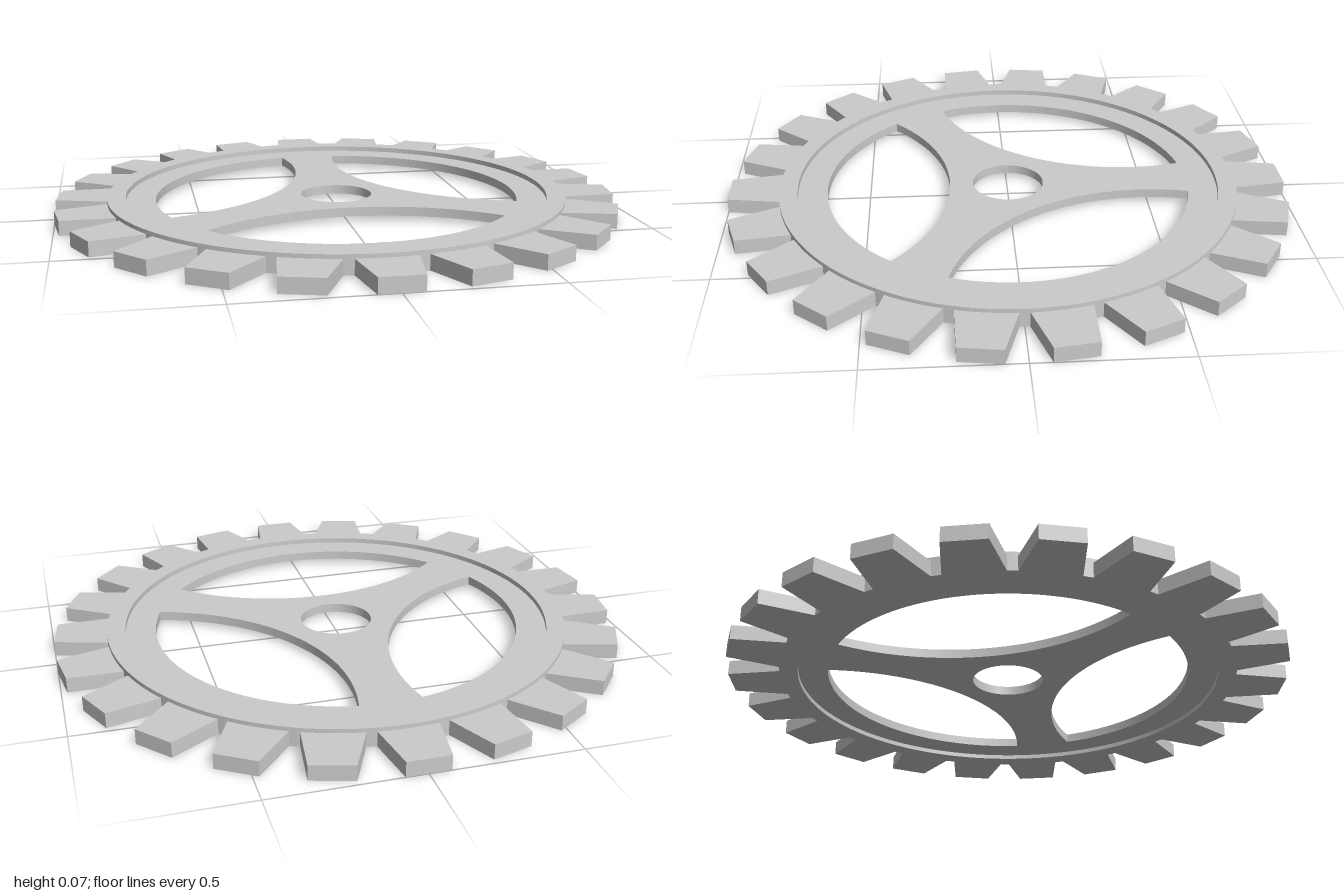
import * as THREE from 'three';
import { toCreasedNormals } from 'three/addons/utils/BufferGeometryUtils.js';

const TEETH = 22, ROOT = 0.82, LIP_IN = 0.755;
const material = new THREE.MeshStandardMaterial({ color: 0xcccccc });

// Extrude a plan outline upward from y0 to y1
function slab(name, shape, y0, y1) {
  const geo = new THREE.ExtrudeGeometry(shape, { depth: y1 - y0, bevelEnabled: false, curveSegments: 96 });
  geo.rotateX(-Math.PI / 2);
  geo.translate(0, y0, 0);
  const mesh = new THREE.Mesh(toCreasedNormals(geo, 0.2), material);
  mesh.name = name;
  return mesh;
}

function circleHole(r) {
  return new THREE.Path().absarc(0, 0, r, 0, Math.PI * 2, true);
}

// Ring with tapered teeth; the root circle runs between them
function toothedOutline() {
  const pts = [], step = (Math.PI * 2) / TEETH;
  const rootHalf = 0.1, tipHalf = 0.072;
  const rootAngle = Math.asin(rootHalf / ROOT);
  for (let i = 0; i < TEETH; i++) {
    const a = Math.PI / 2 + i * step, c = Math.cos(a), s = Math.sin(a);
    const at = (r, t) => pts.push(new THREE.Vector2(r * c - t * s, r * s + t * c));
    at(ROOT * Math.cos(rootAngle), -rootHalf);
    at(1, -tipHalf);
    at(1, tipHalf);
    at(ROOT * Math.cos(rootAngle), rootHalf);
    for (let k = 1; k < 4; k++) {
      const g = a + rootAngle + (step - 2 * rootAngle) * k / 4;
      pts.push(new THREE.Vector2(ROOT * Math.cos(g), ROOT * Math.sin(g)));
    }
  }
  return new THREE.Shape(pts);
}

// Lens-shaped window: rim arc outside, large arc bulging toward the hub
function windowHole(axis) {
  const rim = 0.65, d = 0.934, R = 0.724, n = 40, pts = [];
  const u = (rim * rim + d * d - R * R) / (2 * d);
  const v = Math.sqrt(rim * rim - u * u);
  const rimHalf = Math.atan2(v, u), innerHalf = Math.atan2(v, d - u);
  for (let i = 0; i <= n; i++) {
    const g = rimHalf * (2 * i / n - 1);
    pts.push(new THREE.Vector2(rim * Math.cos(g), rim * Math.sin(g)));
  }
  for (let i = 1; i < n; i++) {
    const g = innerHalf * (1 - 2 * i / n);
    pts.push(new THREE.Vector2(d - R * Math.cos(g), R * Math.sin(g)));
  }
  return new THREE.Path(pts.map(p => p.rotateAround(new THREE.Vector2(), axis)));
}

export function createModel() {
  const gear = new THREE.Group();
  gear.name = 'spokedGear';

  // Toothed ring
  const ring = toothedOutline();
  ring.holes.push(circleHole(LIP_IN));
  gear.add(slab('toothedRing', ring, 0, 0.052));

  // Raised lip on top of the ring
  const lip = new THREE.Shape().absarc(0, 0, ROOT, 0, Math.PI * 2, false);
  lip.holes.push(circleHole(LIP_IN));
  gear.add(slab('raisedLip', lip, 0.052, 0.066));

  // Recessed web: hub bore, three spokes and inner rim
  const web = new THREE.Shape().absarc(0, 0, LIP_IN + 0.003, 0, Math.PI * 2, false);
  web.holes.push(circleHole(0.127));
  for (let i = 0; i < 3; i++) web.holes.push(windowHole(-Math.PI / 2 + i * Math.PI * 2 / 3));
  gear.add(slab('spokedWeb', web, 0.016, 0.048));

  return gear;
}
